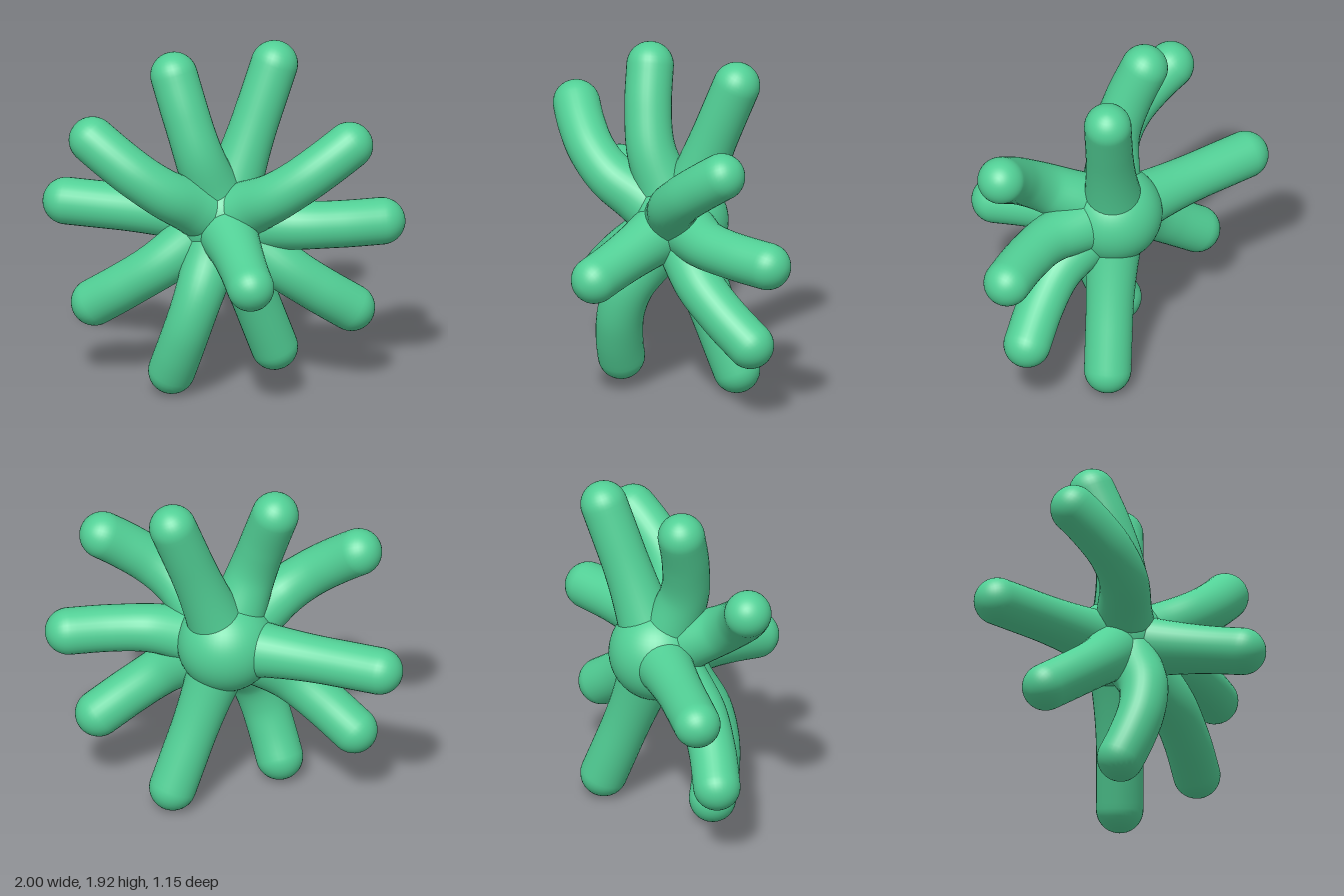
import * as THREE from 'three';
import { mergeVertices } from 'three/addons/utils/BufferGeometryUtils.js';

const CENTRE_Y = 0.96;
const RADIUS = 0.13; // arm thickness
const FLARE = 0.055; // extra thickness where an arm grows out of the core

const material = new THREE.MeshStandardMaterial({ color: 0x52d096 });

// Round-ended arm: a lathed rod, flared at its root, bent along a curve
function armGeometry(points) {
  const curve = new THREE.CatmullRomCurve3(points);
  curve.arcLengthDivisions = 400;
  const length = curve.getLength();

  const profile = [];
  const shaft = length - RADIUS;
  for (let i = 0; i < 28; i++) {
    const y = (shaft * i) / 28;
    const k = Math.max(0, 1 - y / 0.62);
    profile.push(new THREE.Vector2(RADIUS + FLARE * k * k, y));
  }
  for (let i = 0; i <= 10; i++) {
    const a = (i / 10) * Math.PI / 2;
    profile.push(new THREE.Vector2(i === 10 ? 0 : RADIUS * Math.cos(a), shaft + RADIUS * Math.sin(a)));
  }

  let geometry = new THREE.LatheGeometry(profile, 32);
  const side = points[points.length - 1].clone().sub(points[0])
    .cross(new THREE.Vector3(0, 0, 1)).normalize();
  const pos = geometry.attributes.position;
  for (let i = 0; i < pos.count; i++) {
    const t = Math.min(1, pos.getY(i) / length);
    const tangent = curve.getTangentAt(t);
    const depth = side.clone().cross(tangent);
    const p = curve.getPointAt(t)
      .addScaledVector(side, pos.getX(i))
      .addScaledVector(depth, pos.getZ(i));
    pos.setXYZ(i, p.x, p.y, p.z);
  }
  geometry.deleteAttribute('uv');
  geometry.deleteAttribute('normal');
  geometry = mergeVertices(geometry, 1e-4);
  geometry.computeVertexNormals();
  return geometry;
}

// Side bends of the arms: [distance from the axis, z]
const BENDS = {
  front: [[0, -0.21], [0.2, -0.1], [0.37, -0.005], [0.55, 0.02], [0.72, -0.005], [0.87, -0.05], [0.99, -0.1]],
  middle: [[0, -0.24], [0.2, -0.19], [0.42, -0.15], [0.65, -0.18], [0.87, -0.24], [0.995, -0.275]],
  back: [[0, -0.26], [0.45, -0.35], [0.87, -0.445], [0.997, -0.475]],
};

// Ten arms around the front axis, counter-clockwise from the model's left
const ARMS = [
  ['leftArm', 'middle'],
  ['upperLeftArm', 'front'],
  ['topLeftArm', 'back'],
  ['topRightArm', 'middle'],
  ['upperRightArm', 'front'],
  ['rightArm', 'back'],
  ['lowerRightArm', 'middle'],
  ['bottomRightArm', 'front'],
  ['bottomLeftArm', 'back'],
  ['lowerLeftArm', 'middle'],
];

export function createModel() {
  const group = new THREE.Group();
  group.name = 'branchingBody';

  const add = (name, geometry) => {
    const mesh = new THREE.Mesh(geometry, material);
    mesh.name = name;
    group.add(mesh);
    return mesh;
  };

  // Round core
  add('core', new THREE.SphereGeometry(0.27, 48, 32)).position.set(0, CENTRE_Y, -0.25);

  // Radial arms
  ARMS.forEach(([name, bend], i) => {
    const angle = (i * Math.PI) / 5;
    const points = BENDS[bend].map(([d, z]) =>
      new THREE.Vector3(d * Math.cos(angle), CENTRE_Y + d * Math.sin(angle), z));
    add(name, armGeometry(points));
  });

  // Arm reaching forward
  add('forwardArm', armGeometry([
    new THREE.Vector3(0, 0.95, -0.2),
    new THREE.Vector3(0.1, 0.885, 0.12),
    new THREE.Vector3(0.19, 0.815, 0.44),
    new THREE.Vector3(0.225, 0.79, 0.565),
  ]));

  return group;
}
